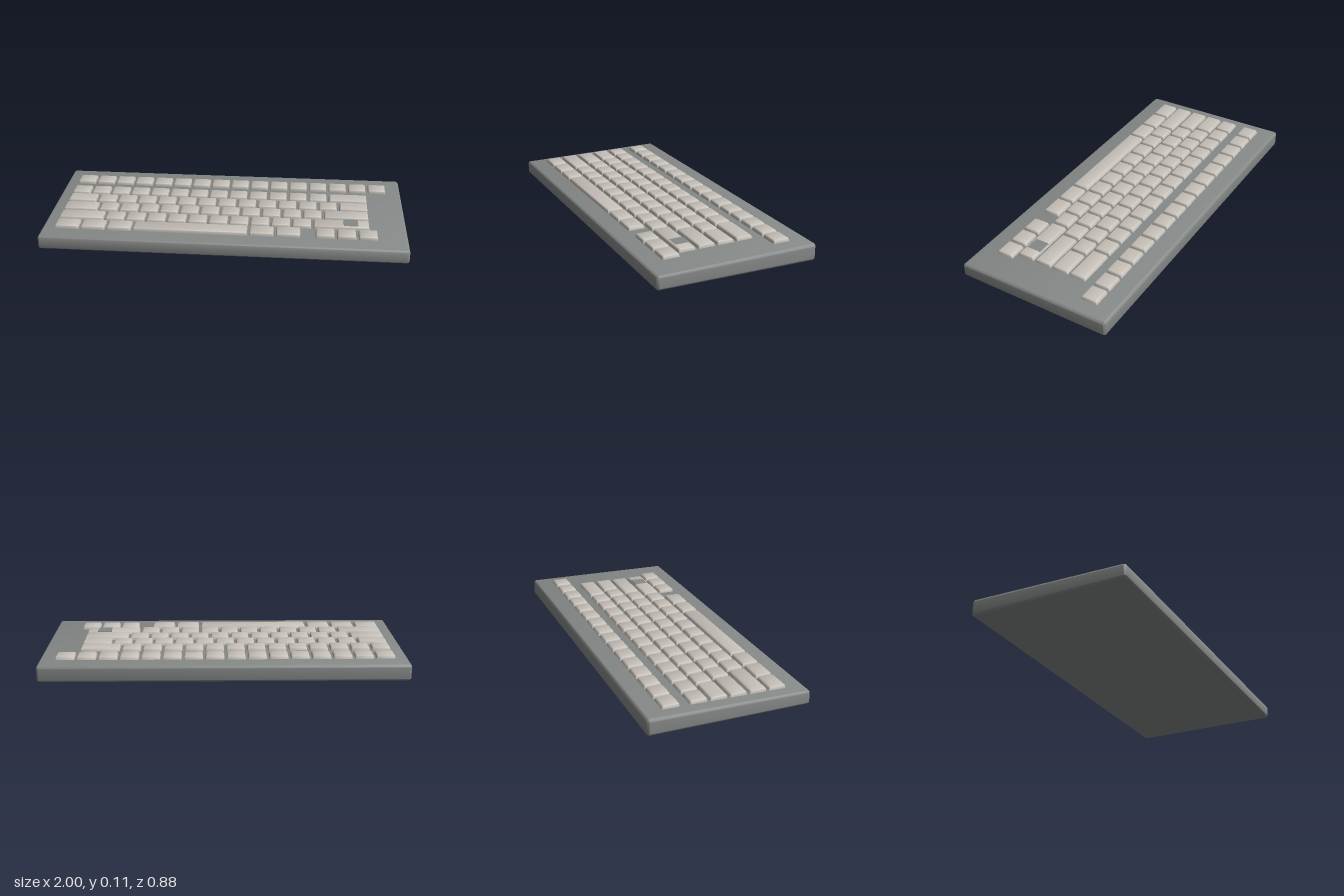
import * as THREE from 'three';
import { RoundedBoxGeometry } from 'three/addons/geometries/RoundedBoxGeometry.js';
import { mergeVertices, toCreasedNormals } from 'three/addons/utils/BufferGeometryUtils.js';

const UNIT = 0.1159, GAP = 0.011, LEFT = -0.93;
const KEY_DEPTH = 0.097, KEY_HEIGHT = 0.032, KEY_RISE = 0.0195;
const SLOPE = 0.0205;
const deckHeight = (z) => 0.085 - SLOPE * z;

// Move every vertex by a rule, then rebuild normals with crisp edges kept
function reshape(geometry, rule, crease = 0.6) {
  geometry.deleteAttribute('normal');
  geometry.deleteAttribute('uv');
  const g = mergeVertices(geometry, 1e-5);
  const p = g.attributes.position, v = new THREE.Vector3();
  for (let i = 0; i < p.count; i++) {
    v.fromBufferAttribute(p, i);
    rule(v);
    p.setXYZ(i, v.x, v.y, v.z);
  }
  return toCreasedNormals(g, crease);
}

// Wedge case: lower at the front than at the back
function caseGeometry() {
  const h = 0.085;
  return reshape(new RoundedBoxGeometry(2, h, 0.88, 4, 0.016), (v) => {
    v.y += h / 2;
    v.y -= SLOPE * v.z * (v.y / h);
  });
}

// Low keycap, narrowing toward the top and most at the back
function keyGeometry(width) {
  return reshape(new RoundedBoxGeometry(width, KEY_HEIGHT, KEY_DEPTH, 2, 0.006), (v) => {
    const t = Math.max(0, v.y / (KEY_HEIGHT / 2));
    v.x -= Math.sign(v.x) * 0.006 * t;
    v.z += v.z < 0 ? 0.01 * t : -0.004 * t;
    v.y -= SLOPE * v.z;
  });
}

export function createModel() {
  const model = new THREE.Group();
  const caseGrey = new THREE.MeshStandardMaterial({ color: 0x858987 });
  caseGrey.name = 'caseGrey';
  const keyBeige = new THREE.MeshStandardMaterial({ color: 0xc5c0b8 });
  keyBeige.name = 'keyBeige';

  const body = new THREE.Mesh(caseGeometry(), caseGrey);
  body.name = 'case';
  model.add(body);

  // Key widths in units; a negative number is an empty gap
  const ones = (n) => Array(n).fill(1);
  const rows = [
    { name: 'functionRow', z: -0.291, keys: ones(16) },
    { name: 'numberRow', z: -0.144, keys: [...ones(13), 2] },
    { name: 'upperLetterRow', z: -0.036, keys: [1.5, ...ones(12), 1.5] },
    { name: 'homeRow', z: 0.071, keys: [1.75, ...ones(11), 2.25] },
    { name: 'lowerLetterRow', z: 0.18, keys: [2.25, ...ones(10), 2.75] },
    { name: 'bottomRow', z: 0.287, keys: [1.25, 1.25, 1.25, 5.5, 1.25, 1.25, -0.6, 1, 1, 1] },
  ];
  const cache = new Map();
  for (const row of rows) {
    const group = new THREE.Group();
    group.name = row.name;
    let x = LEFT;
    for (const units of row.keys) {
      const span = Math.abs(units) * UNIT;
      if (units > 0) {
        if (!cache.has(units)) cache.set(units, keyGeometry(span - GAP));
        const key = new THREE.Mesh(cache.get(units), keyBeige);
        key.name = units > 5 ? 'spaceBar' : 'key';
        key.position.set(x + (span - GAP) / 2, deckHeight(row.z) + KEY_RISE - KEY_HEIGHT / 2, row.z);
        group.add(key);
      }
      x += span;
    }
    model.add(group);
  }

  // Small grey pad set into the wide key at the right of the lower row
  const padZ = 0.176;
  const pad = new THREE.Mesh(new RoundedBoxGeometry(0.08, 0.006, 0.08, 2, 0.0025), caseGrey);
  pad.name = 'greyPad';
  pad.position.set(0.695, deckHeight(padZ) + KEY_RISE - 0.002, padZ);
  pad.rotation.x = Math.atan(SLOPE);
  model.add(pad);

  return model;
}
